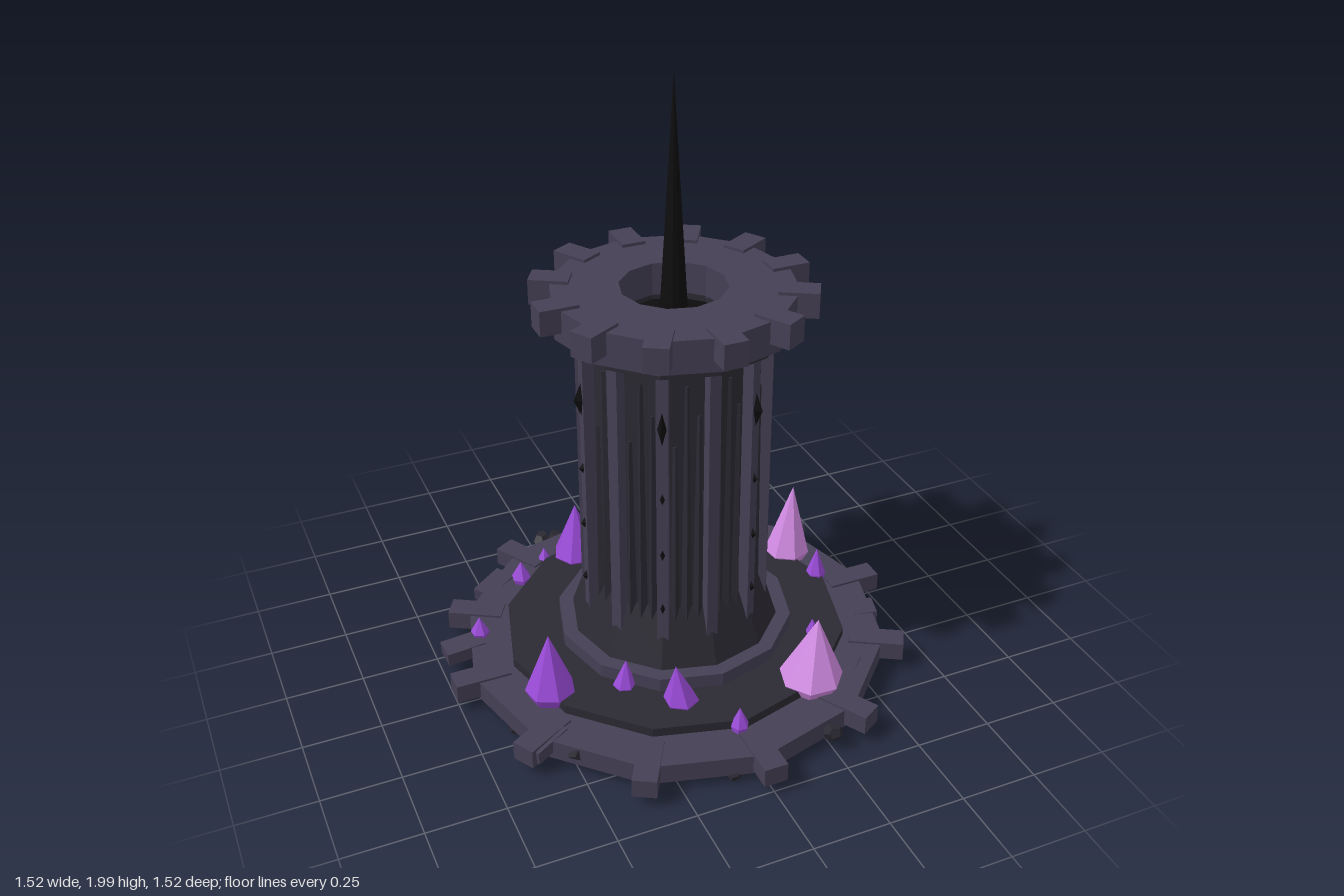
import * as THREE from 'three';

const mat = (color, side = THREE.FrontSide) =>
  new THREE.MeshStandardMaterial({ color, flatShading: true, side });
const stone = mat(0x453f54);
const darkStone = mat(0x2b2932);
const black = mat(0x0d0d0e);
const purple = mat(0x9a4bd8);
const pink = mat(0xd18ae2);

export function createModel() {
  const model = new THREE.Group();

  const add = (name, geometry, material, parent = model) => {
    const mesh = new THREE.Mesh(geometry, material);
    mesh.name = name;
    parent.add(mesh);
    return mesh;
  };
  // Twelve-sided body turned from a profile of [radius, height], bottom to top
  const turned = (name, profile, material) =>
    add(name, new THREE.LatheGeometry(profile.map(p => new THREE.Vector2(...p)), 12), material);
  const ring = (name, inner, outer, y0, y1, material) =>
    turned(name, [[inner, y0], [outer, y0], [outer, y1], [inner, y1], [inner, y0]], material);
  // Repeats a part around the axis; each copy is built facing +z
  const around = (name, count, build, start = 0) => {
    for (let i = 0; i < count; i++) {
      const g = new THREE.Group();
      g.name = name;
      g.rotation.y = start + (i / count) * Math.PI * 2;
      build(g);
      model.add(g);
    }
  };
  const radialBox = (name, width, y0, y1, r0, r1, material, parent) =>
    add(name, new THREE.BoxGeometry(width, y1 - y0, r1 - r0), material, parent)
      .position.set(0, (y0 + y1) / 2, (r0 + r1) / 2);

  // Stepped base with an open middle
  ring('baseDisc', 0.15, 0.695, 0.04, 0.105, stone);
  ring('baseStep', 0.15, 0.56, 0.1, 0.135, darkStone);
  ring('columnCollar', 0.15, 0.385, 0.13, 0.18, stone);
  around('baseTooth', 12, g => radialBox('baseToothBlock', 0.076, 0.05, 0.112, 0.58, 0.76, stone, g));

  // Column with flared foot
  turned('columnShaft', [[0.27, 0.15], [0.27, 1.23]], darkStone);
  turned('columnFoot', [[0.338, 0.18], [0.272, 0.37]], darkStone);
  around('pilaster', 12, g => radialBox('pilasterStrip', 0.036, 0.16, 1.23, 0.25, 0.302, stone, g));

  // Tall tapering ribs, three in each bay
  around('rib', 12, g => {
    [[-0.036, 0.95], [0, 1.15], [0.036, 1.05]].forEach(([x, top]) => {
      const rib = add('taperedRib', new THREE.CylinderGeometry(0.007, 0.018, top - 0.18, 4), darkStone, g);
      rib.position.set(x, (top + 0.18) / 2, 0.262);
    });
  }, Math.PI / 12);

  // Black studs on every second pilaster
  around('studColumn', 6, g => {
    [[1.03, 0.06, 0.015], [0.79, 0.022, 0.009], [0.59, 0.022, 0.009], [0.39, 0.022, 0.009]]
      .forEach(([y, half, width]) => {
        const stud = add('diamondStud', new THREE.OctahedronGeometry(1), black, g);
        stud.scale.set(width, half, width * 1.7);
        stud.position.set(0, y, 0.3);
      });
  }, Math.PI / 6);

  // Toothed crown
  ring('crownNeck', 0.165, 0.335, 1.21, 1.25, darkStone);
  ring('crownRing', 0.165, 0.377, 1.245, 1.35, stone);
  around('crownTooth', 12, g => radialBox('crownToothBlock', 0.076, 1.28, 1.36, 0.31, 0.432, stone, g));

  // Core inside the column, rising into the spire
  turned('spire', [[0, 0.14], [0.165, 0.14], [0.165, 1.23], [0.045, 1.235], [0.037, 1.36], [0, 2]], black);

  // Crystals: x, z, radius, tip height, lean in x, material
  [
    [-0.5, 0.185, 0.08, 0.34, 0, purple],
    [0.27, 0.455, 0.102, 0.35, 0.02, pink],
    [0.52, -0.2, 0.08, 0.39, 0.02, pink],
    [-0.17, -0.475, 0.08, 0.335, 0, purple],
    [-0.14, 0.395, 0.056, 0.27, -0.025, purple],
    [-0.285, 0.26, 0.036, 0.23, 0.01, purple],
    [-0.025, 0.56, 0.029, 0.19, 0, purple],
    [0.39, 0.26, 0.03, 0.19, -0.01, purple],
    [0.55, -0.03, 0.033, 0.235, 0, purple],
    [0.255, -0.51, 0.03, 0.18, 0, purple],
    [0.1, -0.405, 0.027, 0.18, 0, purple],
    [-0.275, -0.52, 0.021, 0.155, 0, purple],
    [-0.39, -0.43, 0.034, 0.185, 0, purple],
    [-0.61, -0.2, 0.031, 0.175, 0, purple],
    [0.33, -0.25, 0.012, 0.2, 0, purple],
  ].forEach(([x, z, r, tip, lean, material], i) => {
    const y0 = 0.09, h = tip - y0;
    const profile = [[0, 0], [r * 0.7, 0], [r, Math.min(0.05, h * 0.35)], [0, h]];
    const geometry = new THREE.LatheGeometry(profile.map(p => new THREE.Vector2(...p)), r > 0.07 ? 7 : 6);
    geometry.rotateY(i * 1.3);
    // Shear the tip sideways
    const pos = geometry.attributes.position;
    for (let k = 0; k < pos.count; k++) pos.setX(k, pos.getX(k) + lean * pos.getY(k) / h);
    add('crystal', geometry, material).position.set(x, y0, z);
  });

  // Loose slabs on the rim: x, z, turn
  [[-0.675, -0.18, 0.05], [0.6, 0.165, -0.25], [0.41, 0.42, 0.7], [-0.48, -0.46, 0.6], [-0.58, 0.35, 0.5]]
    .forEach(([x, z, turn]) => {
      const slab = add('looseSlab', new THREE.BoxGeometry(0.13, 0.045, 0.075), stone);
      slab.position.set(x, 0.085, z);
      slab.rotation.set(0.04, turn, 0.05);
    });

  // Rubble around and under the rim
  let seed = 11;
  const random = () => (seed = (seed * 16807) % 2147483647) / 2147483647;
  const rock = (x, y, z, s) => {
    const r = add('rubble', new THREE.DodecahedronGeometry(s), darkStone);
    r.position.set(x, y, z);
    r.rotation.set(random() * 3, random() * 3, random() * 3);
    r.scale.set(1, 0.7, 0.8);
  };
  [[-0.23, -0.68], [-0.18, -0.67], [0.66, -0.15], [0.57, 0.08], [0.25, 0.65], [-0.2, 0.59],
    [-0.64, -0.05], [-0.5, 0.42], [0.62, -0.33], [-0.47, -0.48], [0.56, -0.1]]
    .forEach(([x, z]) => rock(x, 0.07, z, 0.04));
  for (let i = 0; i < 24; i++) {
    const a = random() * Math.PI * 2, d = 0.5 + random() * 0.16;
    rock(Math.sin(a) * d, 0.04, Math.cos(a) * d, 0.018 + random() * 0.018);
  }
  return model;
}
